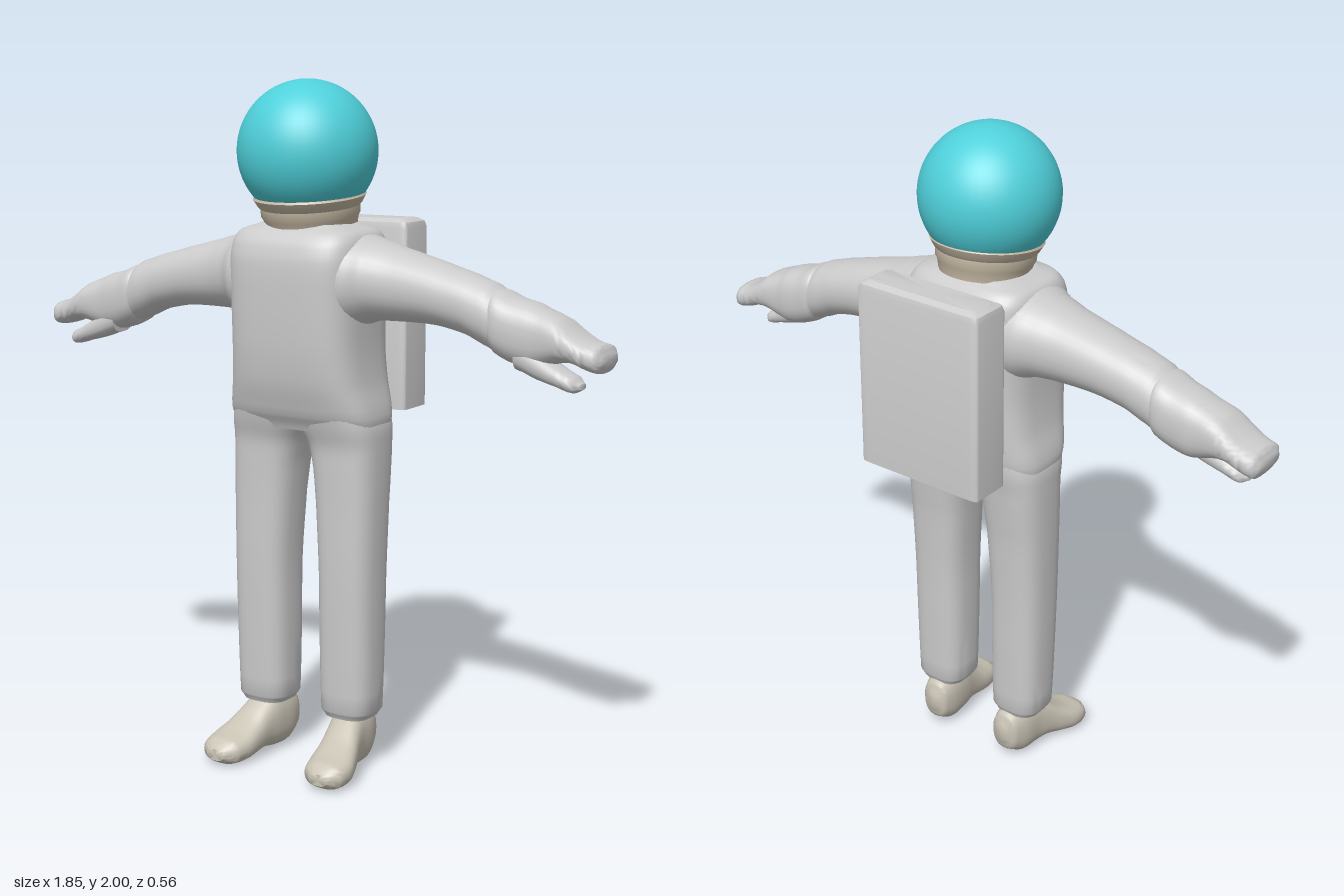
import * as THREE from 'three';
import { toCreasedNormals } from 'three/addons/utils/BufferGeometryUtils.js';

const SUIT = 0xcccccc, BEIGE = 0xc6b9a4, BOOT = 0xc9c3b5, VISOR = 0x4fd0da;

// Ring coordinates (u, v) and position s along the loft, to x, y, z
const AXES = {
  x: (s, u, v) => [s, u, v],
  y: (s, u, v) => [v, s, u],
  z: (s, u, v) => [u, v, s],
};

function catmull(a, b, c, d, t) {
  return 0.5 * (2 * b + (c - a) * t + (2 * a - 5 * b + 4 * c - d) * t * t + (3 * b - a - 3 * c + d) * t * t * t);
}

// Closed skin over superellipse rings; each ring is [s, uMin, uMax, vMin, vMax]
function loft(axis, rings, { power = 2.5, sides = 32, steps = 4, side = 1, crease = 0.9 } = {}) {
  const all = [];
  const at = (i) => rings[Math.min(Math.max(i, 0), rings.length - 1)];
  for (let i = 0; i < rings.length - 1; i++) {
    for (let k = 0; k < steps; k++) {
      all.push(rings[i].map((_, n) => n === 0
        ? THREE.MathUtils.lerp(rings[i][0], rings[i + 1][0], k / steps)
        : catmull(at(i - 1)[n], at(i)[n], at(i + 1)[n], at(i + 2)[n], k / steps)));
    }
  }
  all.push(rings[rings.length - 1]);

  const pos = [], index = [];
  const put = (s, u, v) => {
    const [x, y, z] = AXES[axis](s, u, v);
    pos.push(x * side, y, z);
  };
  const tri = (a, b, c) => (side > 0 ? index.push(a, b, c) : index.push(a, c, b));
  const bend = (w) => Math.sign(w) * Math.pow(Math.abs(w), 2 / power);
  for (const [s, u0, u1, v0, v1] of all) {
    for (let j = 0; j < sides; j++) {
      const t = (j / sides) * Math.PI * 2;
      put(s, (u0 + u1) / 2 + bend(Math.cos(t)) * (u1 - u0) / 2, (v0 + v1) / 2 + bend(Math.sin(t)) * (v1 - v0) / 2);
    }
  }
  const last = all.length - 1;
  for (const r of [all[0], all[last]]) put(r[0], (r[1] + r[2]) / 2, (r[3] + r[4]) / 2);
  const c0 = all.length * sides;
  for (let j = 0; j < sides; j++) {
    const k = (j + 1) % sides;
    for (let i = 0; i < last; i++) {
      const a = i * sides, b = a + sides;
      tri(a + j, a + k, b + k);
      tri(a + j, b + k, b + j);
    }
    tri(c0, k, j);
    tri(c0 + 1, last * sides + j, last * sides + k);
  }
  const geo = new THREE.BufferGeometry();
  geo.setAttribute('position', new THREE.Float32BufferAttribute(pos, 3));
  geo.setIndex(index);
  return toCreasedNormals(geo, crease);
}

export function createModel() {
  const model = new THREE.Group();
  model.name = 'astronaut';
  const add = (name, geometry, color = SUIT) => {
    const mesh = new THREE.Mesh(geometry, new THREE.MeshStandardMaterial({ color }));
    mesh.name = name;
    model.add(mesh);
    return mesh;
  };

  // Torso, from hips to neck base
  add('torso', loft('y', [
    [1.015, -0.09, 0.14, -0.232, 0.232],
    [1.06, -0.105, 0.165, -0.235, 0.235],
    [1.15, -0.118, 0.193, -0.215, 0.215],
    [1.25, -0.12, 0.208, -0.205, 0.205],
    [1.4, -0.127, 0.215, -0.205, 0.205],
    [1.5, -0.13, 0.214, -0.208, 0.208],
    [1.55, -0.122, 0.2, -0.203, 0.203],
    [1.58, -0.1, 0.175, -0.185, 0.185],
    [1.6, -0.07, 0.135, -0.13, 0.13],
  ], { power: 3.6, sides: 48 }));

  // Helmet and its tilted collar
  add('helmet', new THREE.SphereGeometry(0.2, 48, 32).translate(0, 1.8, 0.05), VISOR);
  const collarProfile = [
    [0.1, -0.085], [0.13, -0.075], [0.136, -0.045], [0.142, -0.035], [0.143, -0.012],
    [0.15, -0.005], [0.162, 0.016], [0.158, 0.022], [0.1, 0.018],
  ].map(([r, y]) => new THREE.Vector2(r, y));
  const collar = add('collar', toCreasedNormals(new THREE.LatheGeometry(collarProfile, 48), 0.7), BEIGE);
  collar.material.side = THREE.DoubleSide;
  collar.position.set(0, 1.658, 0.037);
  collar.rotation.x = 0.11;

  // Backpack: sharp base, softened top
  add('backpack', loft('y', [
    [1.045, -0.28, -0.148, -0.207, 0.207],
    [1.575, -0.28, -0.148, -0.207, 0.207],
    [1.592, -0.275, -0.153, -0.202, 0.202],
    [1.602, -0.258, -0.17, -0.185, 0.185],
  ], { power: 18, sides: 48, steps: 1, crease: 0.5 }));

  for (const side of [1, -1]) {
    const label = side > 0 ? 'left' : 'right';

    // Trouser leg, cut flat at the ankle
    add(label + 'Leg', loft('y', [
      [0.16, -0.035, 0.105, 0.075, 0.215],
      [0.18, -0.044, 0.115, 0.062, 0.228],
      [0.4, -0.05, 0.122, 0.058, 0.233],
      [0.6, -0.055, 0.127, 0.057, 0.235],
      [0.8, -0.066, 0.128, 0.046, 0.238],
      [0.9, -0.077, 0.13, 0.036, 0.239],
      [0.97, -0.085, 0.133, 0.02, 0.239],
      [1.03, -0.096, 0.15, -0.005, 0.236],
      [1.1, -0.1, 0.165, -0.005, 0.215],
    ], { side, power: 2.9 }));

    // Boot, toes turned slightly out
    add(label + 'Boot', loft('z', [
      [-0.06, 0.115, 0.155, 0.07, 0.125],
      [-0.047, 0.095, 0.18, 0.035, 0.16],
      [0, 0.085, 0.197, 0.008, 0.18],
      [0.06, 0.088, 0.203, 0.008, 0.18],
      [0.105, 0.096, 0.215, 0.014, 0.15],
      [0.15, 0.1, 0.232, 0.008, 0.115],
      [0.2, 0.103, 0.247, 0.002, 0.09],
      [0.25, 0.118, 0.24, 0.004, 0.076],
      [0.277, 0.15, 0.21, 0.02, 0.055],
    ], { side, sides: 28 }), BOOT);

    // Sleeve, flaring into the shoulder
    add(label + 'Arm', loft('x', [
      [0.1, 1.28, 1.59, -0.115, 0.185],
      [0.19, 1.315, 1.573, -0.115, 0.18],
      [0.23, 1.332, 1.56, -0.103, 0.155],
      [0.3, 1.336, 1.54, -0.085, 0.136],
      [0.42, 1.334, 1.51, -0.072, 0.125],
      [0.52, 1.315, 1.483, -0.063, 0.12],
      [0.59, 1.285, 1.46, -0.058, 0.118],
      [0.625, 1.272, 1.44, -0.053, 0.112],
    ], { side, power: 2.2 }));

    // Glove with cuff and flat fingers
    add(label + 'Glove', loft('x', [
      [0.59, 1.3, 1.44, -0.045, 0.1],
      [0.615, 1.27, 1.445, -0.058, 0.116],
      [0.66, 1.25, 1.427, -0.057, 0.114],
      [0.71, 1.24, 1.415, -0.055, 0.108],
      [0.74, 1.243, 1.402, -0.05, 0.106],
      [0.8, 1.262, 1.378, -0.05, 0.11],
      [0.84, 1.264, 1.347, -0.05, 0.108],
      [0.88, 1.25, 1.325, -0.048, 0.105],
      [0.915, 1.243, 1.316, -0.045, 0.1],
      [0.925, 1.258, 1.296, -0.03, 0.085],
    ], { side, power: 2.6 }));

    // Thumb below the palm
    add(label + 'Thumb', loft('x', [
      [0.68, 1.235, 1.32, 0.0, 0.1],
      [0.74, 1.215, 1.29, 0.005, 0.102],
      [0.8, 1.2, 1.255, 0.01, 0.1],
      [0.845, 1.188, 1.232, 0.015, 0.095],
      [0.865, 1.197, 1.215, 0.035, 0.075],
    ], { side, sides: 20 }));
  }
  return model;
}
